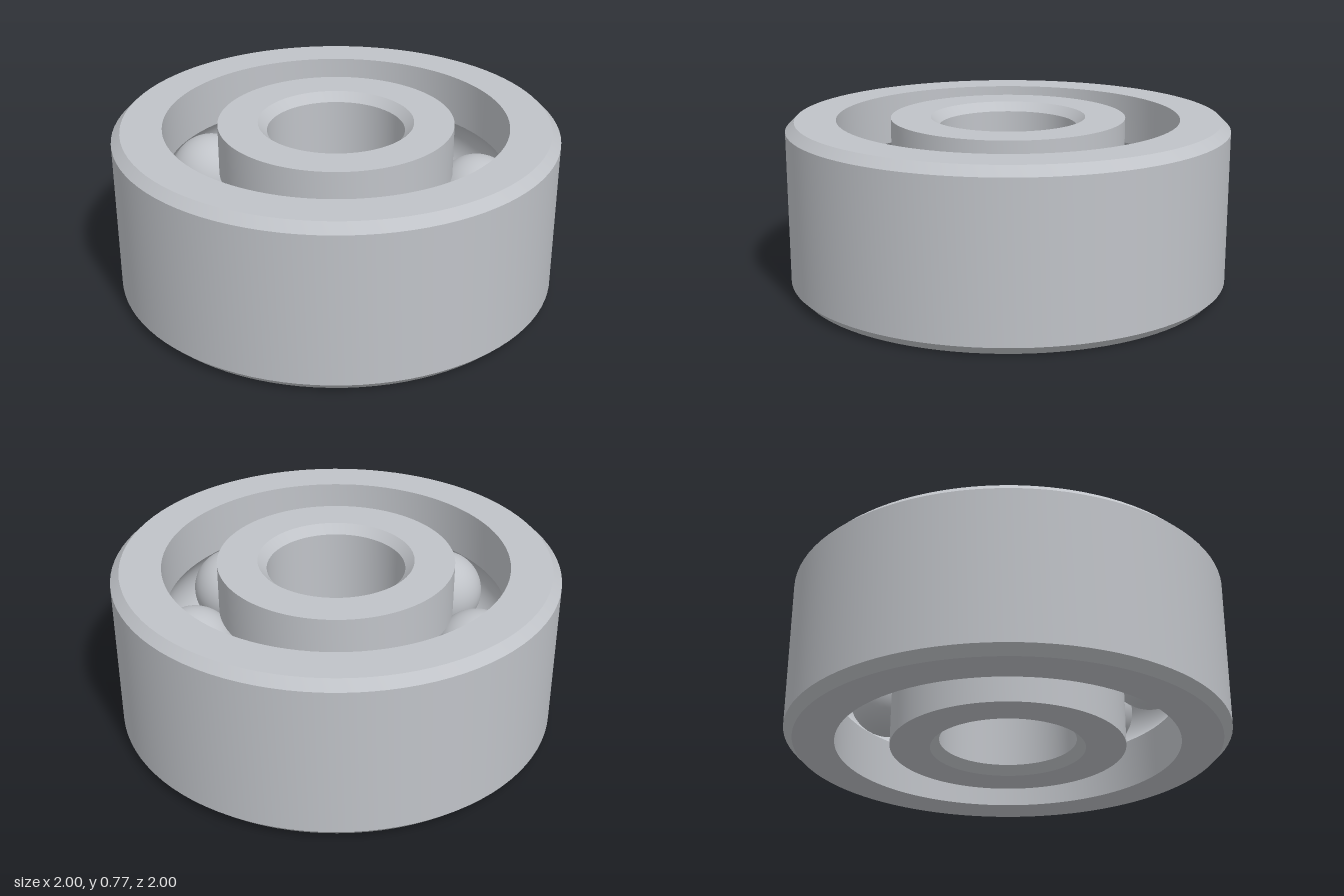
import * as THREE from 'three';
import { toCreasedNormals } from 'three/addons/utils/BufferGeometryUtils.js';

const HEIGHT = 0.77, MID = HEIGHT / 2, CHAMFER = 0.04;
const PITCH = 0.65, BALL_R = 0.19, GROOVE_R = 0.193, BALLS = 7;

// Arc of the ball raceway cut into a wall at radius r; side is +1 (outer ring) or -1 (inner ring)
function raceway(r, side) {
  const limit = Math.acos(Math.abs(r - PITCH) / GROOVE_R);
  const points = [];
  for (let i = 0; i <= 14; i++) {
    const a = side * limit * (1 - i / 7);
    points.push([PITCH + side * GROOVE_R * Math.cos(a), MID + GROOVE_R * Math.sin(a)]);
  }
  return points;
}

// Closed ring turned from a counter-clockwise (radius, height) profile
function ring(name, profile, material) {
  const points = [...profile, profile[0]].map(([r, y]) => new THREE.Vector2(r, y));
  const geometry = toCreasedNormals(new THREE.LatheGeometry(points, 96), 0.5);
  const mesh = new THREE.Mesh(geometry, material);
  mesh.name = name;
  return mesh;
}

export function createModel() {
  const steel = new THREE.MeshStandardMaterial({ color: 0xc0c3c8 });
  steel.name = 'steel';
  const bearing = new THREE.Group();
  bearing.name = 'ballBearing';

  // Outer ring: chamfered outside, raceway inside
  bearing.add(ring('outerRing', [
    [1 - CHAMFER, 0], [1, CHAMFER], [1, HEIGHT - CHAMFER], [1 - CHAMFER, HEIGHT],
    [0.775, HEIGHT], ...raceway(0.775, 1), [0.775, 0],
  ], steel));

  // Inner ring: raceway outside, chamfered bore
  bearing.add(ring('innerRing', [
    [0.53, 0], ...raceway(0.53, -1), [0.53, HEIGHT],
    [0.31 + CHAMFER, HEIGHT], [0.31, HEIGHT - CHAMFER], [0.31, CHAMFER], [0.31 + CHAMFER, 0],
  ], steel));

  // Balls spaced evenly round the raceway
  const ballGeometry = new THREE.SphereGeometry(BALL_R, 40, 24);
  const balls = new THREE.Group();
  balls.name = 'balls';
  for (let i = 0; i < BALLS; i++) {
    const a = (i / BALLS) * Math.PI * 2;
    const ball = new THREE.Mesh(ballGeometry, steel);
    ball.name = 'ball' + (i + 1);
    ball.position.set(PITCH * Math.cos(a), MID, PITCH * Math.sin(a));
    balls.add(ball);
  }
  bearing.add(balls);
  return bearing;
}
